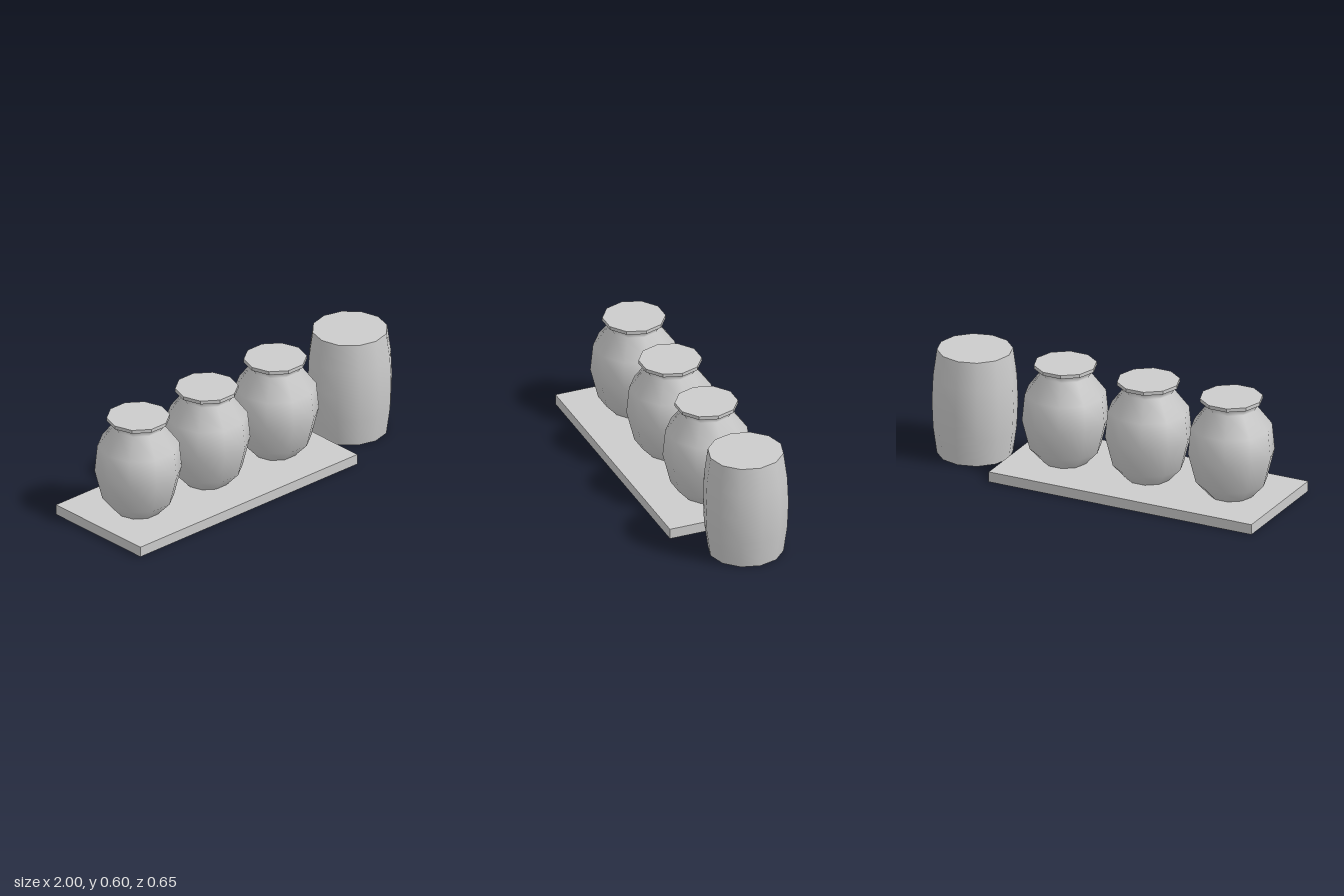
import * as THREE from 'three';

export function createModel() {
  const model = new THREE.Group();
  const smooth = new THREE.MeshStandardMaterial({ color: 0xcccccc, side: THREE.DoubleSide });
  const flat = new THREE.MeshStandardMaterial({ color: 0xcccccc, flatShading: true });

  function add(parent, name, geometry, material, x = 0, y = 0, z = 0) {
    const mesh = new THREE.Mesh(geometry, material);
    mesh.name = name;
    mesh.position.set(x, y, z);
    parent.add(mesh);
    return mesh;
  }
  // Turned body from [radius, height] pairs, bottom to top
  const turned = (profile, sides) => new THREE.LatheGeometry(
    profile.map(([r, y]) => new THREE.Vector2(r, y)), sides, Math.PI / 2);

  // Plank the jars stand on
  add(model, 'plank', new THREE.BoxGeometry(1.53, 0.056, 0.646), flat, -0.235, 0.028);

  // Three ten-sided jars with flat lids
  const jarBody = turned([
    [0.118, 0.056], [0.187, 0.13], [0.228, 0.294], [0.214, 0.438], [0.133, 0.545], [0.155, 0.581],
  ], 10);
  const jarLid = new THREE.CylinderGeometry(0.165, 0.165, 0.019, 10, 1, false, Math.PI / 2);
  [-0.718, -0.235, 0.249].forEach((x, i) => {
    const jar = new THREE.Group();
    jar.name = `jar${i + 1}`;
    jar.position.x = x;
    add(jar, 'jarBody', jarBody, smooth);
    add(jar, 'jarLid', jarLid, flat, 0, 0.5905);
    model.add(jar);
  });

  // Bulging barrel, open underneath, with a flat top
  const barrel = new THREE.Group();
  barrel.name = 'barrel';
  barrel.position.x = 0.775;
  add(barrel, 'barrelWall', turned([
    [0.198, 0], [0.218, 0.145], [0.224, 0.291], [0.218, 0.436], [0.198, 0.582],
  ], 12), smooth);
  add(barrel, 'barrelTop', new THREE.CircleGeometry(0.198, 12).rotateX(-Math.PI / 2), smooth, 0, 0.582);
  model.add(barrel);

  return model;
}
